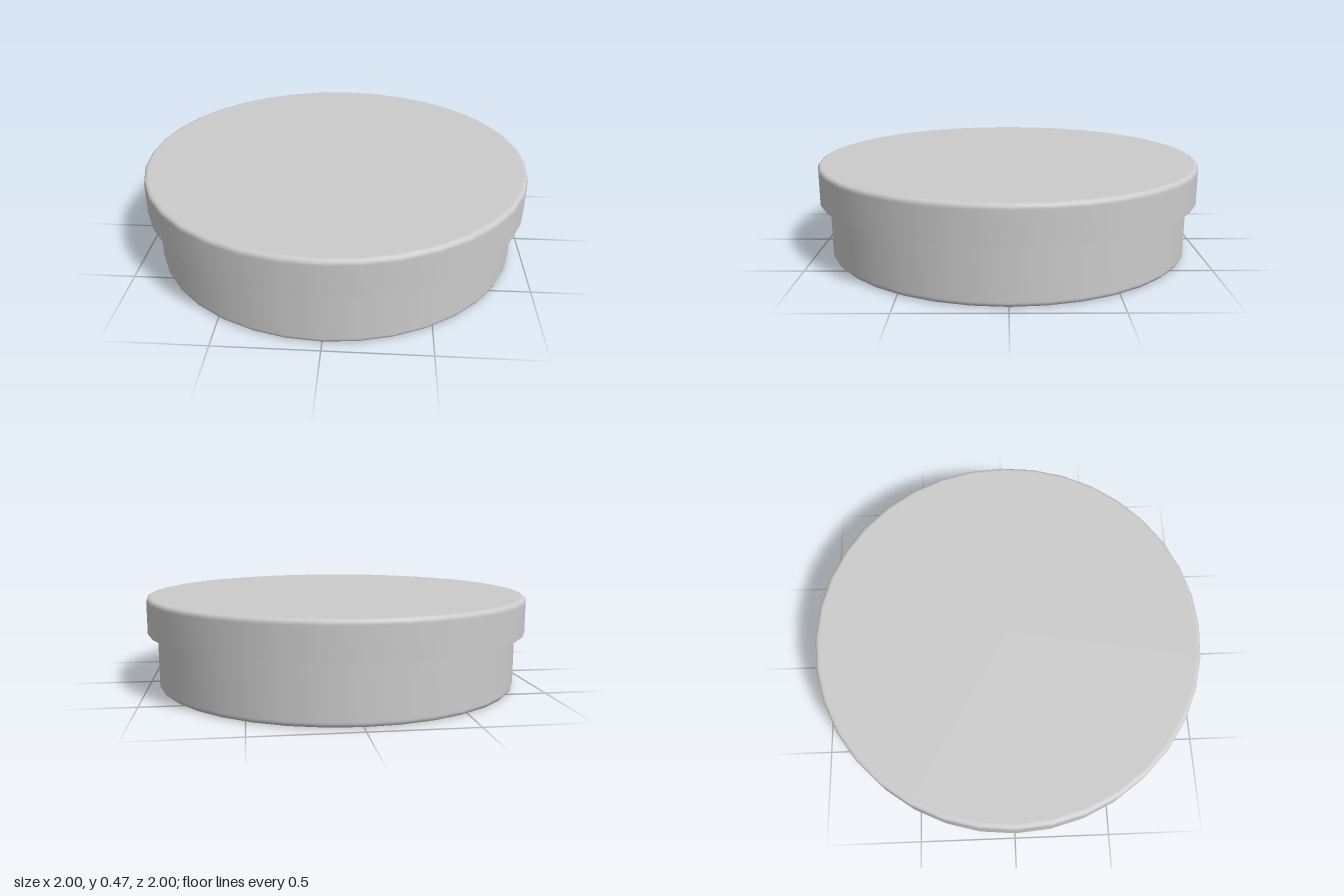
import * as THREE from 'three';
import { toCreasedNormals } from 'three/addons/utils/BufferGeometryUtils.js';

const SIDES = 36;
const material = new THREE.MeshStandardMaterial({ color: 0xcccccc });

// Quarter-round corner about (cx, cy), with support points that keep the flat faces flat
function fillet(cx, cy, r, from) {
  const pts = [];
  for (let i = 0; i <= 3; i++) {
    const a = from + (i / 3) * Math.PI / 2;
    pts.push([cx + r * Math.cos(a), cy + r * Math.sin(a)]);
  }
  const d = r * 0.3;
  const before = [pts[0][0] + d * Math.sin(from), pts[0][1] - d * Math.cos(from)];
  const after = [pts[3][0] - d * Math.cos(from), pts[3][1] - d * Math.sin(from)];
  return [before, ...pts, after];
}

// Round part turned from a profile that runs counter-clockwise
function turned(name, profile) {
  const points = profile.map(([x, y]) => new THREE.Vector2(x, y));
  const geometry = toCreasedNormals(new THREE.LatheGeometry(points, SIDES), 0.7);
  const mesh = new THREE.Mesh(geometry, material);
  mesh.name = name;
  return mesh;
}

export function createModel() {
  const group = new THREE.Group();
  group.name = 'roundTin';

  // Shallow cup with a rounded bottom edge and an open top, hidden under the lid
  group.add(turned('base', [
    [0, 0],
    ...fillet(0.93, 0.02, 0.02, -Math.PI / 2),
    [0.95, 0.44], [0.93, 0.44], [0.93, 0.025], [0, 0.025],
  ]));

  // Hollow lid with a rounded top edge and a thin skirt around the base
  group.add(turned('lid', [
    [0, 0.45], [0.975, 0.45], [0.975, 0.29], [1, 0.29],
    ...fillet(0.98, 0.455, 0.02, 0),
    [0, 0.475],
  ]));

  return group;
}
